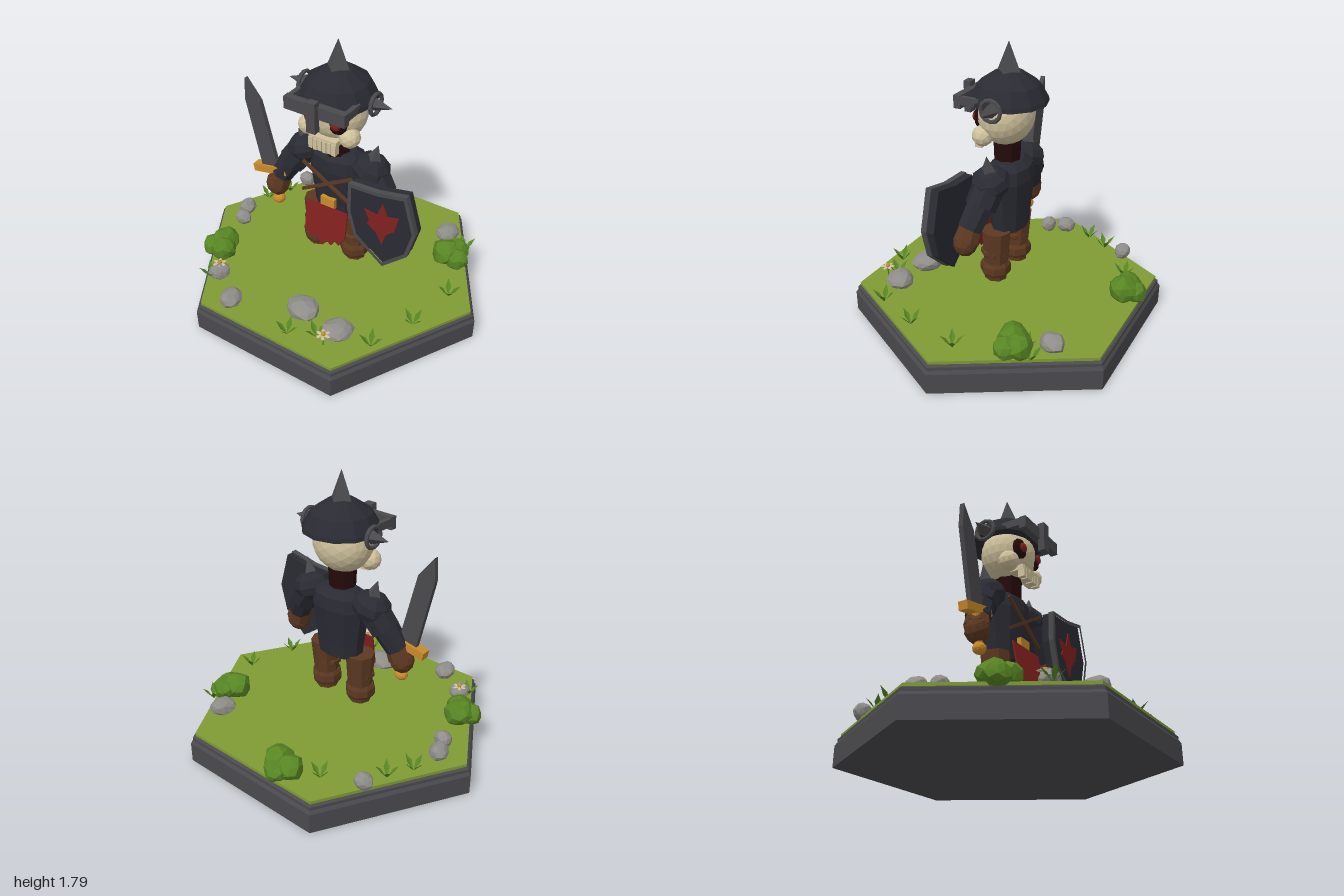
import * as THREE from 'three';

const mat = (name, color, side = THREE.FrontSide) => {
  const m = new THREE.MeshStandardMaterial({ color, side });
  m.name = name;
  return m;
};

export function createModel() {
  const steel = mat('steel', 0x4a4a4e), armor = mat('dark armor', 0x2a2b33);
  const bone = mat('bone', 0xcfc19c, THREE.DoubleSide), shade = mat('dark maroon', 0x240a0a);
  const red = mat('red', 0x80201f), leather = mat('leather', 0x5c3821), gold = mat('gold', 0xc98a2a);
  const grass = mat('grass', 0x7f9b34), leaf = mat('foliage', 0x578523, THREE.DoubleSide), stone = mat('stone', 0x8f8d89);

  const root = new THREE.Group();
  root.name = 'skeletonKnight';

  // Faceted mesh with a position, rotation and scale
  const add = (name, geo, material, pos = [0, 0, 0], rot = [0, 0, 0], scale = [1, 1, 1], parent = root) => {
    const g = geo.index ? geo.toNonIndexed() : geo;
    g.computeVertexNormals();
    const mesh = new THREE.Mesh(g, material);
    mesh.name = name;
    mesh.position.set(...pos);
    mesh.rotation.set(...rot);
    mesh.scale.set(...scale);
    parent.add(mesh);
    return mesh;
  };
  const box = (name, size, material, pos, rot) => add(name, new THREE.BoxGeometry(...size), material, pos, rot);
  const lathe = (pts, n) => new THREE.LatheGeometry(pts.map(p => new THREE.Vector2(...p)), n);
  const shapeOf = pts => new THREE.Shape(pts.map(p => new THREE.Vector2(...p)));
  const plate = (shape, depth) => new THREE.ExtrudeGeometry(shape, { depth, bevelEnabled: false });
  // Tapered cylinder from a to b
  const limb = (name, a, b, ra, rb, material, n = 8) => {
    const A = new THREE.Vector3(...a), B = new THREE.Vector3(...b), d = B.clone().sub(A);
    const m = add(name, new THREE.CylinderGeometry(rb, ra, d.length(), n), material);
    m.position.copy(A).add(B).multiplyScalar(0.5);
    m.quaternion.setFromUnitVectors(new THREE.Vector3(0, 1, 0), d.normalize());
    return m;
  };
  // Lumpy ball, displaced by a smooth rule
  const lump = (detail, seed, amount) => {
    const g = new THREE.IcosahedronGeometry(1, detail), p = g.attributes.position;
    for (let i = 0; i < p.count; i++) {
      const x = p.getX(i), y = p.getY(i), z = p.getZ(i);
      const f = 1 + amount * Math.sin(5 * x + 7 * y + 4 * z + seed * 2.3);
      p.setXYZ(i, x * f, y * f, z * f);
    }
    return g;
  };

  // Hexagonal base and grass
  const hex = Math.PI / 6;
  add('base', lathe([[0, 0], [1, 0], [1, 0.13], [0.985, 0.15], [0.985, 0.17], [0.97, 0.18], [0, 0.18]], 6), steel, [0, 0, 0], [0, hex, 0]);
  add('grassTop', new THREE.CylinderGeometry(0.967, 0.967, 0.02, 6), grass, [0, 0.19, 0], [0, hex, 0]);

  // Legs with boot bands
  const band = (r, h) => lathe([[0, 0], [r * 0.88, 0], [r, h * 0.25], [r, h * 0.75], [r * 0.88, h], [0, h]], 8);
  for (const s of [-1, 1]) {
    limb('leg', [s * 0.138, 0.30, 0.02], [s * 0.145, 0.64, 0.01], 0.072, 0.092, leather);
    add('bootBand', band(0.097, 0.09), leather, [s * 0.14, 0.33, 0.02], [0, hex / 1.33, 0]);
    add('kneeBand', band(0.09, 0.045), leather, [s * 0.138, 0.465, 0.025], [0, hex / 1.33, 0]);
  }

  // Torso, straps, buckle and ragged cloth
  add('torso', lathe([[0, 0.62], [0.16, 0.62], [0.168, 0.7], [0.205, 0.95], [0.19, 1.03], [0.12, 1.07], [0, 1.07]], 10),
    armor, [0, 0, -0.01], [0, 0, 0], [1, 1, 0.66]);
  for (const s of [-1, 1]) box('chestStrap', [0.415, 0.018, 0.016], leather, [0, 0.875, 0.128 + s * 0.005], [0, 0, s * 0.53]);
  box('buckle', [0.1, 0.07, 0.03], gold, [0, 0.725, 0.115]);
  const rag = [[-0.15, 0], [-0.145, -0.21], [-0.09, -0.255], [-0.065, -0.235], [-0.005, -0.285], [0.025, -0.245],
    [0.055, -0.265], [0.08, -0.225], [0.11, -0.245], [0.15, -0.18], [0.15, 0]];
  add('loinCloth', plate(shapeOf(rag), 0.009), red, [0, 0.7, 0.125], [-0.17, 0, 0]);

  // Neck, skull and face
  add('neck', new THREE.CylinderGeometry(0.088, 0.08, 0.2, 8), shade, [0, 1.09, 0.01]);
  add('skull', new THREE.IcosahedronGeometry(1, 3), bone, [0, 1.355, 0.015], [0, 0, 0], [0.195, 0.19, 0.17]);
  for (const s of [-1, 1]) {
    add('cheek', new THREE.IcosahedronGeometry(0.066, 1), bone, [s * 0.142, 1.245, 0.1]);
    add('eyeSocket', new THREE.SphereGeometry(1, 10, 6), shade, [s * 0.088, 1.342, 0.145], [0, s * 0.2, 0], [0.06, 0.07, 0.035]);
    add('eye', new THREE.SphereGeometry(0.036, 8, 6), red, [s * 0.088, 1.342, 0.16]);
  }
  box('jaw', [0.19, 0.035, 0.09], bone, [0, 1.21, 0.13]);
  for (let i = 0; i < 6; i++) box('tooth', [0.027, 0.075, 0.045], bone, [(i - 2.5) * 0.032, 1.18 - (i % 2) * 0.004, 0.16]);

  // Helmet with visor, rings and spikes
  add('helmet', lathe([[0, 1.435], [0.24, 1.435], [0.235, 1.46], [0.187, 1.545], [0.085, 1.615], [0, 1.63]], 12), armor);
  const spike = (name, r, h, pos, rot) => add(name, new THREE.ConeGeometry(r, h, 4), steel, pos, rot);
  spike('crownSpike', 0.076, 0.18, [0, 1.705, 0]);
  box('visorBar', [0.41, 0.08, 0.045], steel, [0, 1.45, 0.235]);
  box('noseGuard', [0.06, 0.195, 0.045], steel, [0, 1.425, 0.268]);
  for (const s of [-1, 1]) {
    box('visorArm', [0.03, 0.05, 0.14], steel, [s * 0.19, 1.46, 0.16]);
    add('helmetRing', new THREE.TorusGeometry(0.064, 0.013, 6, 12), steel, [s * 0.245, 1.447, -0.01], [0, Math.PI / 2, 0]);
    spike('helmetSpike', 0.05, 0.13, [s * 0.29, 1.447, -0.01], [0, 0, -s * Math.PI / 2]);
  }

  // Arms and shoulders
  for (const s of [-1, 1]) {
    add('pauldron', new THREE.SphereGeometry(1, 8, 6), armor, [s * 0.235, 1.0, 0], [0, 0, -s * 0.35], [0.125, 0.095, 0.122]);
    spike('shoulderSpike', 0.058, 0.13, [s * 0.262, 1.12, 0], [0, 0, -s * 0.25]);
    limb('upperArm', [s * 0.24, 0.99, 0], [s * 0.325, 0.87, 0.02], 0.1, 0.096, armor);
    limb('forearm', [s * 0.315, 0.9, 0.015], [s * 0.4, 0.755, 0.05], 0.085, 0.076, armor);
    limb('gloveCuff', [s * 0.385, 0.785, 0.045], [s * 0.42, 0.69, 0.06], 0.068, 0.08, leather);
    add('fist', new THREE.IcosahedronGeometry(1, 1), leather, [s * 0.425, 0.675, 0.065], [0, 0, 0], [0.078, 0.088, 0.075]);
  }

  // Sword
  const sword = new THREE.Group();
  sword.name = 'sword';
  sword.position.set(-0.46, 0.785, 0.075);
  sword.rotation.z = 0.2;
  root.add(sword);
  const part = (name, geo, m, pos, scale) => add(name, geo, m, pos, [0, 0, 0], scale, sword);
  const blade = shapeOf([[-0.06, 0], [0.065, 0], [0.042, 0.485], [-0.035, 0.635], [-0.072, 0.49]]);
  part('blade', plate(blade, 0.03), steel, [0, 0, -0.015]);
  part('guard', new THREE.BoxGeometry(0.255, 0.052, 0.06), gold, [0, 0, 0]);
  part('grip', new THREE.CylinderGeometry(0.026, 0.026, 0.2, 6), gold, [0, -0.11, 0]);
  part('pommel', new THREE.IcosahedronGeometry(1, 1), gold, [0, -0.226, 0], [0.045, 0.038, 0.04]);

  // Shield with frame, panel and leaf emblem
  const rim = [[0.205, 1.015], [0.40, 1.025], [0.587, 1.065], [0.658, 0.82], [0.61, 0.64], [0.45, 0.49], [0.25, 0.64], [0.2, 0.82]];
  const scaled = k => rim.map(([x, y]) => [0.43 + (x - 0.43) * k, 0.79 + (y - 0.79) * k]);
  const frame = shapeOf(rim);
  frame.holes.push(new THREE.Path(scaled(0.9).map(p => new THREE.Vector2(...p))));
  add('shieldFrame', plate(frame, 0.035), steel, [0, 0, 0.182]);
  add('shieldPanel', plate(shapeOf(scaled(0.975)), 0.062), armor, [0, 0, 0.135]);
  const emblem = [[0.43, 0.95], [0.465, 0.865], [0.54, 0.885], [0.515, 0.78], [0.46, 0.73], [0.435, 0.645],
    [0.39, 0.725], [0.33, 0.765], [0.345, 0.8], [0.31, 0.865], [0.395, 0.85]];
  add('shieldEmblem', plate(shapeOf(emblem), 0.008), red, [0, 0, 0.197]);

  // Rocks: x, z, radius
  [[-0.63, -0.55, 0.06], [0.53, -0.56, 0.083], [-0.8, -0.05, 0.068], [-0.75, 0.065, 0.06], [-0.54, 0.58, 0.07],
    [-0.325, 0.73, 0.08], [0.1, 0.56, 0.112], [0.375, 0.595, 0.1]].forEach(([x, z, r], i) =>
    add('rock', lump(1, i, 0.07), stone, [x, 0.24, z], [0, i, 0], [r, 0.055, r * 0.85]));

  // Bushes of overlapping lumps
  [[-0.19, -0.755], [0.66, -0.37], [-0.69, 0.38]].forEach(([x, z], i) => {
    for (let k = 0; k < 3; k++) {
      const a = i * 2.1 + 0.6 + k * 2.094, r = 0.092 - k * 0.008;
      add('bush', lump(1, i + k, 0.08), leaf, [x + 0.05 * Math.cos(a), 0.26 - k * 0.01, z + 0.04 * Math.sin(a)], [0, a, 0], [r, r * 0.95, r]);
    }
  });

  // Grass tufts of four bent leaves
  const leafGeo = () => {
    const g = new THREE.BufferGeometry();
    g.setAttribute('position', new THREE.Float32BufferAttribute(
      [0, 0, 0, 0.035, 0.05, 0.018, 0.035, 0.042, 0, 0.07, 0.085, 0, 0.035, 0.05, -0.018], 3));
    g.setIndex([0, 2, 1, 1, 2, 3, 0, 4, 2, 2, 4, 3]);
    return g;
  };
  [[-0.39, -0.65], [-0.68, -0.4], [-0.76, -0.25], [0.79, -0.05], [0.715, 0.285], [0.59, 0.57], [0.28, 0.68],
    [0.12, 0.755], [0.69, -0.5], [0.61, -0.43], [-0.58, 0.62]].forEach(([x, z], i) => {
    for (let k = 0; k < 4; k++) add('grassLeaf', leafGeo(), leaf, [x, 0.198, z], [0, i * 0.7 + k * Math.PI / 2, 0]);
  });

  // Flowers
  for (const [x, z] of [[0.35, 0.71], [-0.55, 0.56]]) {
    add('flowerStem', new THREE.CylinderGeometry(0.005, 0.005, 0.09, 5), leaf, [x, 0.24, z]);
    add('flowerCenter', new THREE.IcosahedronGeometry(0.014, 1), gold, [x, 0.292, z]);
    for (let k = 0; k < 6; k++) {
      const a = k * Math.PI / 3;
      add('petal', new THREE.SphereGeometry(1, 6, 4), bone, [x + 0.027 * Math.cos(a), 0.286, z + 0.027 * Math.sin(a)], [0, -a, 0], [0.02, 0.005, 0.012]);
    }
  }
  return root;
}
